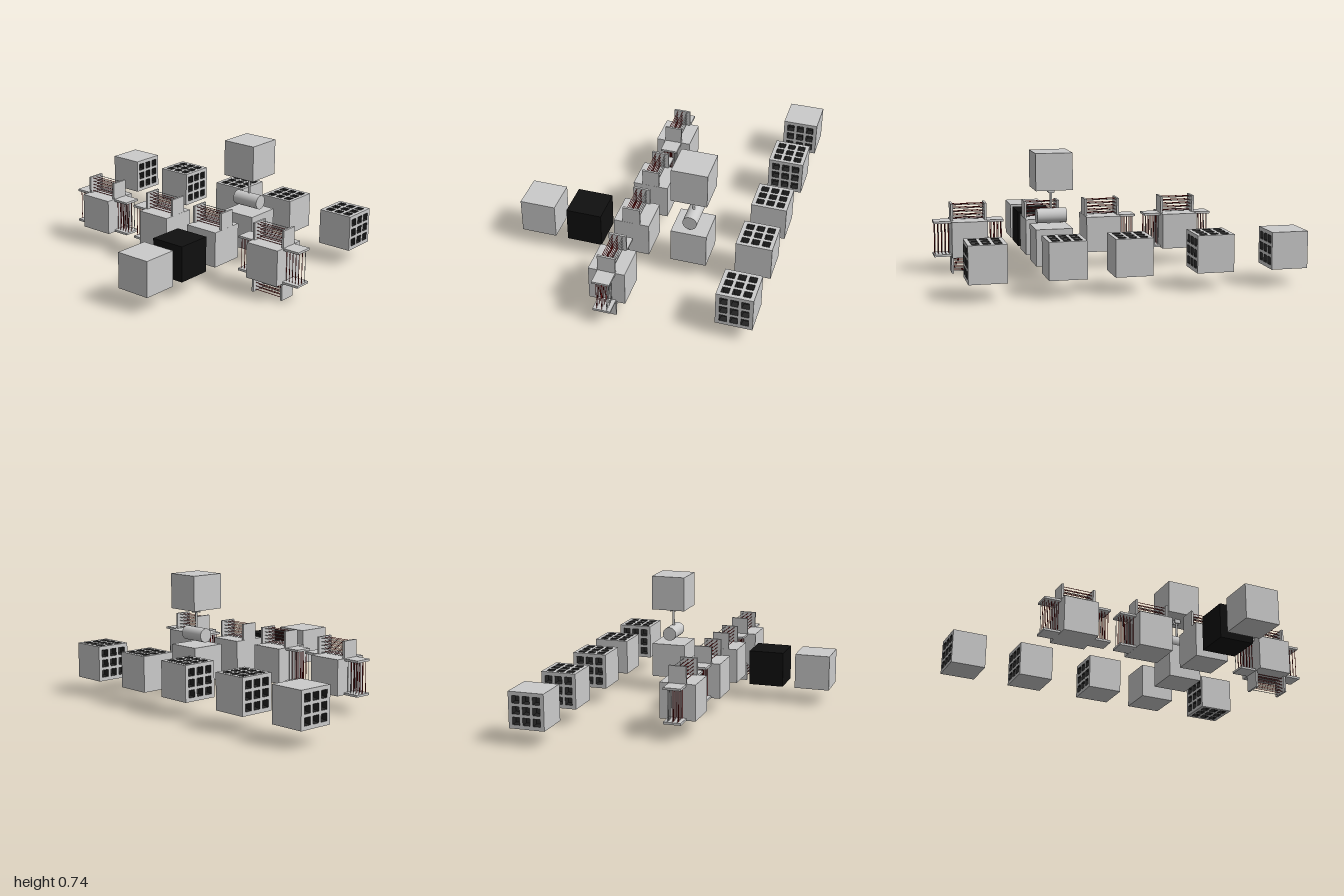
import * as THREE from 'three';

const S = 0.21, H = S / 2, CY = 0.207;
const mat = (color, side = THREE.FrontSide) =>
  new THREE.MeshStandardMaterial({ color, side, flatShading: true });
const grey = mat(0xcccccc);
const black = mat(0x101010);
const pitWall = mat(0x222222, THREE.BackSide);
const pitFloor = mat(0x2c2c2c);
const red = mat(0x8a1a1a);

// Directions as [rotX, rotY] that turn a +z facing panel outwards
const FACES = {
  front: [0, 0], back: [0, Math.PI], left: [0, Math.PI / 2],
  right: [0, -Math.PI / 2], top: [-Math.PI / 2, 0], bottom: [Math.PI / 2, 0],
};
// Roll about z that turns an upward arm towards a side
const ROLL = { top: 0, right: Math.PI / 2, bottom: Math.PI, left: -Math.PI / 2 };

function add(parent, name, geometry, material, x = 0, y = 0, z = 0) {
  const mesh = new THREE.Mesh(geometry, material);
  mesh.name = name;
  mesh.position.set(x, y, z);
  parent.add(mesh);
  return mesh;
}

function node(parent, name, x = 0, y = 0, z = 0) {
  const group = new THREE.Group();
  group.name = name;
  group.position.set(x, y, z);
  parent.add(group);
  return group;
}

const cubeGeometry = new THREE.BoxGeometry(S, S, S);

// Closed square outline centred on (x, y)
function square(path, x, y, h) {
  path.moveTo(x - h, y - h);
  path.lineTo(x + h, y - h);
  path.lineTo(x + h, y + h);
  path.lineTo(x - h, y + h);
  path.closePath();
  return path;
}

// Cube whose listed faces carry a 3 x 3 grid of dark tapered pits
function pittedCube(parent, x, z, pitted) {
  const cube = node(parent, 'pittedCube', x, CY, z);
  const step = 0.061, half = 0.0215, inner = 0.014, depth = 0.03;
  const wall = new THREE.CylinderGeometry(half * Math.SQRT2, inner * Math.SQRT2, depth, 4, 1, true);
  wall.rotateY(Math.PI / 4).rotateX(Math.PI / 2);
  const floor = new THREE.PlaneGeometry(inner * 2, inner * 2);
  for (const [name, [rx, ry]] of Object.entries(FACES)) {
    const side = node(cube, name + 'Face');
    side.rotation.set(rx, ry, 0);
    const panel = square(new THREE.Shape(), 0, 0, H);
    if (pitted.includes(name)) {
      for (let i = -1; i <= 1; i++) for (let j = -1; j <= 1; j++) {
        panel.holes.push(square(new THREE.Path(), i * step, j * step, half));
        add(side, 'pitWall', wall, pitWall, i * step, j * step, H - depth / 2);
        add(side, 'pitFloor', floor, pitFloor, i * step, j * step, H - depth);
      }
    }
    add(side, 'facePanel', new THREE.ShapeGeometry(panel), grey, 0, 0, H);
  }
}

// Cube with arms: two end plates joined by three rows of thin rods
function armedCube(parent, x, z, sides) {
  const cube = node(parent, 'armedCube', x, CY, z);
  add(cube, 'body', cubeGeometry, grey);
  const length = 0.1, thick = 0.013, offset = 0.098;
  const plate = new THREE.BoxGeometry(thick, length, 0.102);
  const rod = new THREE.CylinderGeometry(0.0018, 0.0018, offset * 2, 6).rotateZ(Math.PI / 2);
  for (const name of sides) {
    const arm = node(cube, name + 'Arm');
    arm.rotation.z = ROLL[name];
    for (const s of [-1, 1]) add(arm, 'endPlate', plate, grey, s * offset, H + length / 2, 0);
    for (let i = 0; i < 5; i++) for (let j = -1; j <= 1; j++)
      add(arm, 'rod', rod, j < 0 ? grey : red, 0, H + 0.009 + i * 0.0205, j * 0.029);
  }
}

export function createModel() {
  const model = new THREE.Group();
  model.name = 'cubeSet';

  // Back row of pitted cubes
  const backZ = -0.65;
  pittedCube(model, -0.895, backZ, ['left', 'right']);
  pittedCube(model, -0.465, backZ, ['left', 'right', 'top']);
  pittedCube(model, -0.005, backZ, ['right', 'top']);
  pittedCube(model, 0.36, backZ, ['top']);
  pittedCube(model, 0.79, backZ, ['left', 'right', 'top', 'bottom']);

  // Middle row of cubes with matching arms
  const midZ = 0.07;
  armedCube(model, -0.475, midZ, ['left', 'right', 'top']);
  armedCube(model, -0.005, midZ, ['right', 'top']);
  armedCube(model, 0.36, midZ, ['top']);
  armedCube(model, 0.793, midZ, ['left', 'right', 'top', 'bottom']);

  // Plain and black cubes at the front
  add(model, 'plainCube', cubeGeometry, grey, 0.36, CY, 0.645);
  add(model, 'blackCube', cubeGeometry, black, 0.36, CY, 0.36);

  // Lower cube with a hammer hanging from the cube above it
  const hammer = node(model, 'hammerUnit', 0.36, 0, -0.27);
  add(hammer, 'lowerCube', cubeGeometry, grey, 0, CY, 0);
  add(hammer, 'upperCube', cubeGeometry, grey, 0, 0.635, 0);
  for (const s of [-1, 1])
    add(hammer, 'bracketCheek', new THREE.BoxGeometry(0.037, 0.026, 0.009), grey, 0, 0.518, s * 0.0135);
  const smooth = new THREE.MeshStandardMaterial({ color: 0xcccccc });
  add(hammer, 'pivotPin', new THREE.CylinderGeometry(0.004, 0.004, 0.03, 12).rotateX(Math.PI / 2), smooth, 0, 0.516, 0);
  add(hammer, 'handle', new THREE.CylinderGeometry(0.007, 0.007, 0.12, 16), smooth, 0, 0.463, 0);
  add(hammer, 'head', new THREE.CylinderGeometry(0.042, 0.042, 0.17, 32).rotateZ(Math.PI / 2), smooth, 0, 0.374, 0);

  return model;
}
